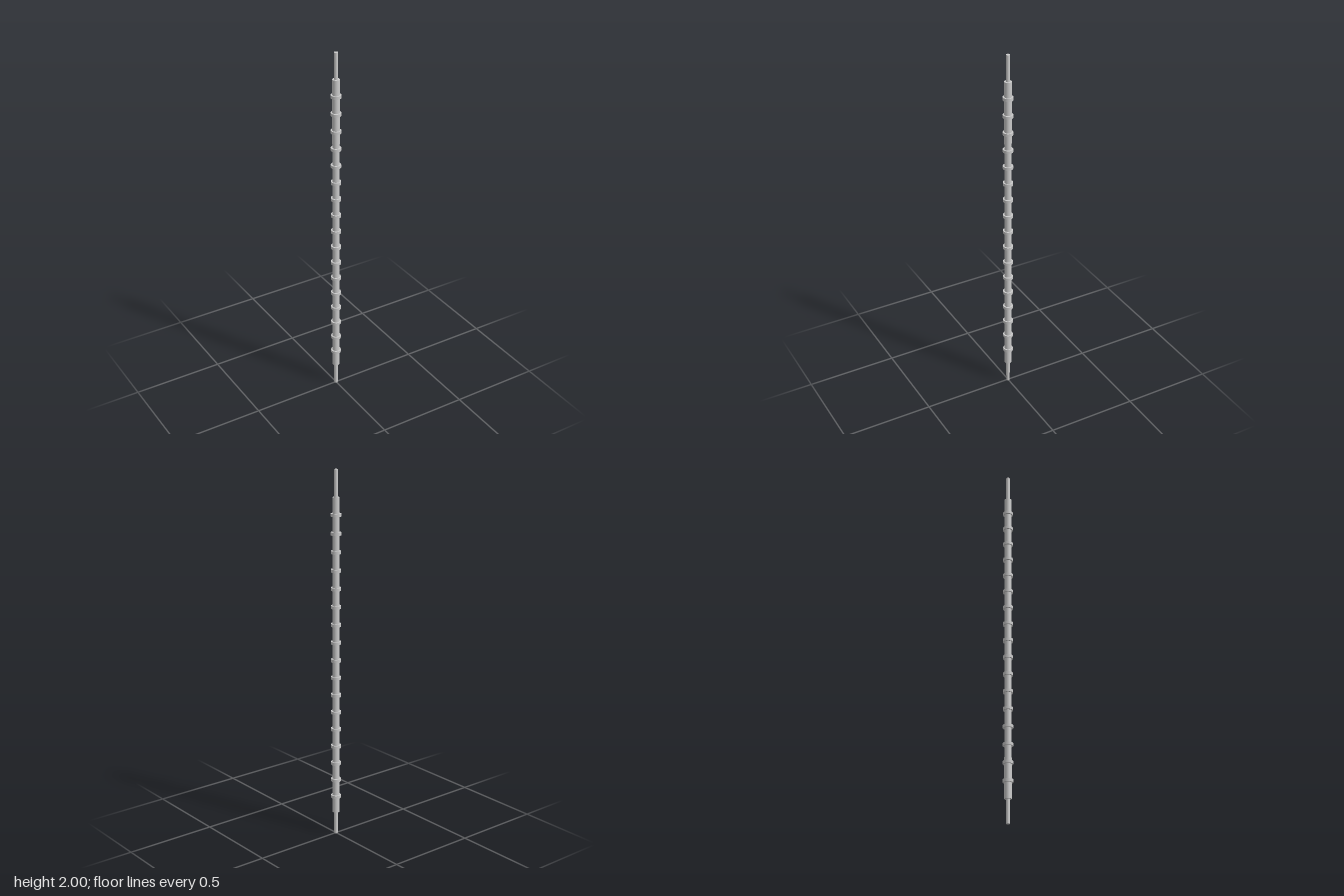
import * as THREE from 'three';

const material = new THREE.MeshStandardMaterial({ color: 0xcccccc });

// Upright cylinder spanning bottom..top
function cylinder(name, radius, bottom, top) {
  const mesh = new THREE.Mesh(new THREE.CylinderGeometry(radius, radius, top - bottom, 32), material);
  mesh.name = name;
  mesh.position.y = (bottom + top) / 2;
  return mesh;
}

export function createModel() {
  const group = new THREE.Group();
  group.name = 'ringedRod';

  // Thin core showing at both ends, and the thicker sleeve around it
  group.add(cylinder('coreRod', 0.01, 0, 2));
  group.add(cylinder('sleeve', 0.019, 0.127, 1.858));

  // Evenly spaced collars along the sleeve
  const count = 17, first = 0.22, last = 1.767, height = 0.016;
  const collars = new THREE.Group();
  collars.name = 'collars';
  for (let i = 0; i < count; i++) {
    const y = first + (last - first) * i / (count - 1);
    collars.add(cylinder('collar', 0.027, y - height / 2, y + height / 2));
  }
  group.add(collars);
  return group;
}
